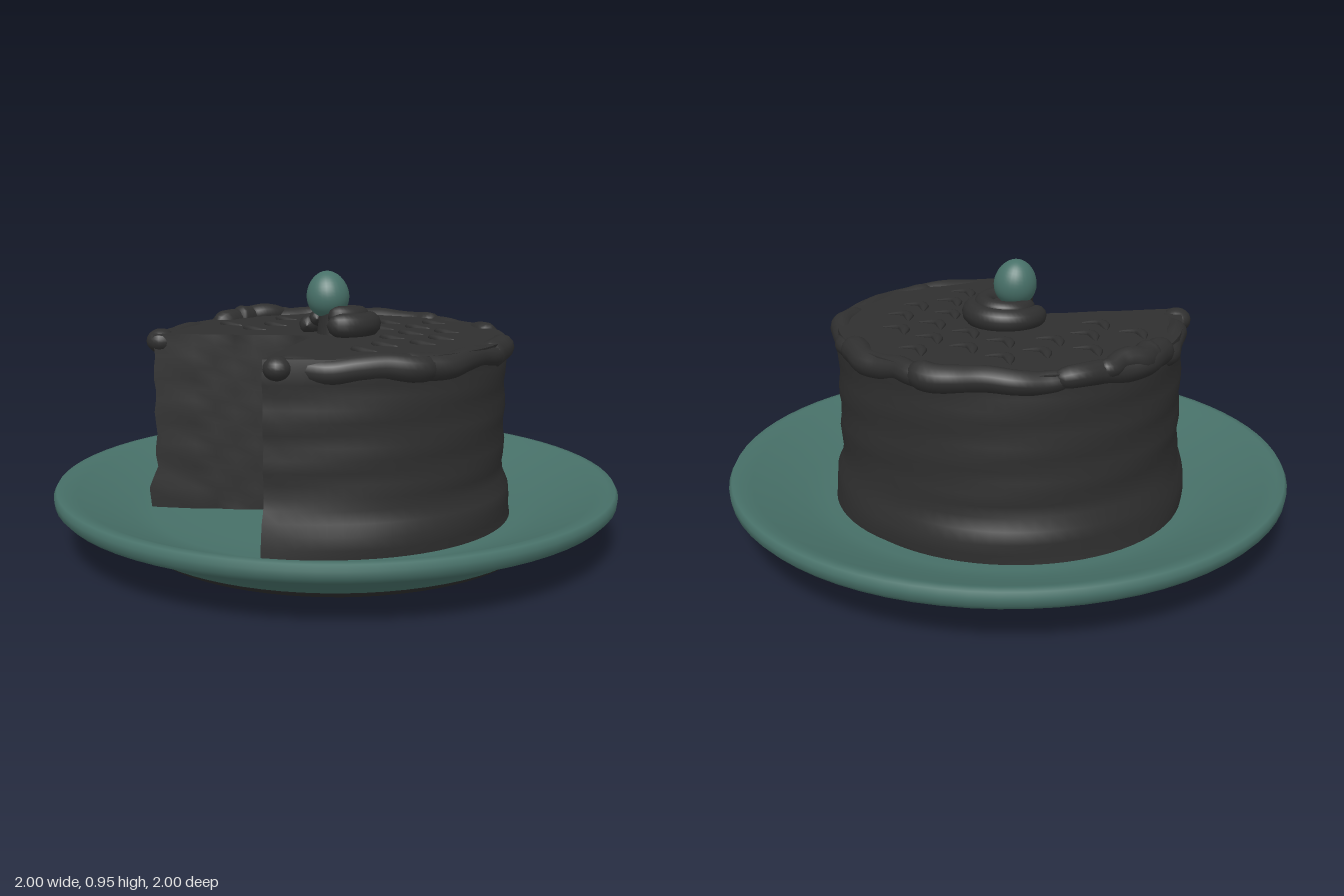
import * as THREE from 'three';
import { mergeVertices, toCreasedNormals } from 'three/addons/utils/BufferGeometryUtils.js';

const V = (x, y, z) => new THREE.Vector3(x, y, z);
const DEG = Math.PI / 180;

const chocolate = new THREE.MeshStandardMaterial({ color: 0x2f2f2f });
chocolate.name = 'chocolate';
const teal = new THREE.MeshStandardMaterial({ color: 0x477068 });
teal.name = 'teal glaze';

// Weld a geometry and give it smooth normals
function smooth(geo) {
  geo.deleteAttribute('uv');
  geo.deleteAttribute('normal');
  const welded = mergeVertices(geo, 1e-4);
  welded.computeVertexNormals();
  return welded;
}

// Move every vertex by a rule
function warp(geo, rule) {
  const p = geo.attributes.position;
  const v = new THREE.Vector3();
  for (let i = 0; i < p.count; i++) {
    v.fromBufferAttribute(p, i);
    rule(v, i);
    p.setXYZ(i, v.x, v.y, v.z);
  }
  return geo;
}

// A piped rope of icing whose thickness follows radius(t)
function rope(points, radius, segments = 28, sides = 12, flat = 1) {
  const curve = new THREE.CatmullRomCurve3(points);
  const geo = new THREE.TubeGeometry(curve, segments, 1, sides);
  const c = new THREE.Vector3();
  warp(geo, (v, i) => {
    const t = Math.floor(i / (sides + 1)) / segments;
    curve.getPointAt(t, c);
    v.sub(c).multiplyScalar(radius(t));
    v.y *= flat;
    v.add(c);
  });
  return smooth(geo);
}

// Thickness with rounded ends, growing from a to b
const taper = (a, b) => t => {
  const e = Math.min(1, Math.min(t, 1 - t) / 0.12);
  return (a + (b - a) * t) * Math.sqrt(Math.max(0.0004, 1 - (1 - e) ** 2));
};

export function createModel() {
  const model = new THREE.Group();
  model.name = 'cakeOnPlate';
  const add = (name, geo, mat, parent = model) => {
    const mesh = new THREE.Mesh(geo, mat);
    mesh.name = name;
    parent.add(mesh);
    return mesh;
  };
  const lathe = pts => new THREE.LatheGeometry(pts.map(p => new THREE.Vector2(...p)), 72);

  // Plate: sloped underside, rolled rim and dished top
  const plate = lathe([
    [0.74, 0.035], [0.8, 0.08], [0.87, 0.122], [0.94, 0.142], [0.98, 0.152], [0.997, 0.17],
    [1, 0.195], [0.99, 0.213], [0.965, 0.216], [0.92, 0.196], [0.83, 0.16], [0.74, 0.125],
    [0.66, 0.105], [0.5, 0.1], [0, 0.1],
  ]);
  add('plate', plate, teal);
  add('plateFoot', toCreasedNormals(lathe([[0, 0], [0.68, 0], [0.7, 0.008], [0.74, 0.035]]), 0.6), chocolate);

  // Cake body: a disc with a wedge cut out of the front
  const start = -57.5, end = 236.5;
  const outline = [];
  for (let i = 0; i <= 64; i++) {
    const t = i / 64;
    const a = (start + (end - start) * t) * DEG;
    const r = 0.578 + 0.028 * Math.abs(Math.cos(a)) + 0.05 * Math.abs(2 * t - 1) ** 12;
    outline.push(new THREE.Vector2(r * Math.cos(a), r * Math.sin(a)));
  }
  const tip = new THREE.Vector2(0.015, -0.1);
  const first = outline[0].clone(), last = outline[64].clone();
  for (let i = 1; i <= 8; i++) outline.push(last.clone().lerp(tip, i / 8));
  for (let i = 1; i < 8; i++) outline.push(tip.clone().lerp(first, i / 8));
  const body = new THREE.ExtrudeGeometry(new THREE.Shape(outline), { depth: 0.64, steps: 16, bevelEnabled: false });
  body.rotateX(-Math.PI / 2).translate(0, 0.095, 0);
  warp(body, v => {
    const r = Math.hypot(v.x, v.z);
    const a = Math.atan2(v.z, v.x);
    if (r > 0.55) {
      // Frosting bulges out around the base
      const base = 0.026 * (1 - THREE.MathUtils.smoothstep(v.y, 0.19, 0.25));
      const k = 1 + (base + 0.004 * Math.sin(v.y * 45 + a * 3)) / r;
      v.x *= k;
      v.z *= k;
    } else if (r > 0.15) {
      // Crumbly cut faces
      v.x += 0.006 * Math.sin(v.y * 38 + r * 31);
    }
  });
  add('cakeBody', toCreasedNormals(body, 0.7), chocolate);

  // Rim icing: overlapping strokes [from, to, start and end thickness, height]
  const rim = new THREE.Group();
  rim.name = 'rimIcing';
  model.add(rim);
  const strokes = [
    [-108, -62, 0.035, 0.05, 0.7], [-68, -22, 0.03, 0.05, 0.7], [-34, 18, 0.03, 0.05, 0.7],
    [4, 57, 0.046, 0.04, 0.7], [172, 124, 0.034, 0.044, 0.7], [-145, -196, 0.035, 0.05, 0.715],
    [-98, -152, 0.05, 0.035, 0.71], [-160, -186, 0.03, 0.05, 0.735],
  ];
  for (const [a0, a1, r0, r1, y] of strokes) {
    const pts = [];
    for (let i = 0; i <= 6; i++) {
      const a = (a0 + (a1 - a0) * i / 6) * DEG;
      const r = 0.557 + 0.03 * Math.abs(Math.cos(a)) + 0.008 * Math.sin(i * 2);
      pts.push(V(r * Math.cos(a), y + 0.007 * Math.sin(i * 1.7 + a0), r * Math.sin(a)));
    }
    add('icingStroke', rope(pts, taper(r0, r1)), chocolate, rim);
  }
  for (const [x, z, r] of [[-0.375, 0.495, 0.052], [0.365, 0.5, 0.046]]) {
    const dab = add('icingDab', new THREE.SphereGeometry(r, 18, 12), chocolate, rim);
    dab.position.set(x, 0.705, z);
    dab.scale.y = 0.85;
  }

  // Shallow curved knife marks over the top
  const marks = new THREE.Group();
  marks.name = 'topSwirlMarks';
  model.add(marks);
  for (let row = 0; row < 7; row++) {
    for (let col = 0; col < 7; col++) {
      const x = -0.48 + col * 0.16 + (row % 2) * 0.05;
      const z = -0.45 + row * 0.125;
      const r = Math.hypot(x, z);
      if (r > 0.47 || r < 0.2 || (z > 0 && Math.abs(x) < 0.14 + z * 0.72)) continue;
      const pts = [V(x - 0.055, 0.735, z - 0.03), V(x + 0.005, 0.737, z + 0.02), V(x + 0.065, 0.735, z - 0.015)];
      add('swirlMark', rope(pts, t => 0.003 + 0.017 * Math.sin(Math.PI * t), 10, 8, 0.6), chocolate, marks);
    }
  }

  // Icing rosette: two coils open towards the cut
  const rosette = new THREE.Group();
  rosette.name = 'rosette';
  model.add(rosette);
  const coil = (radius, y0, y1, a0, a1, r0, r1) => {
    const pts = [];
    for (let i = 0; i <= 12; i++) {
      const t = i / 12, a = (a0 + (a1 - a0) * t) * DEG;
      pts.push(V(0.012 + radius * Math.cos(a), y0 + (y1 - y0) * t, radius * Math.sin(a)));
    }
    return rope(pts, taper(r0, r1), 40);
  };
  add('lowerCoil', coil(0.11, 0.76, 0.775, 125, 418, 0.038, 0.045), chocolate, rosette);
  add('upperCoil', coil(0.075, 0.785, 0.802, 115, 425, 0.03, 0.04), chocolate, rosette);
  const core = add('rosetteCore', new THREE.CylinderGeometry(0.07, 0.08, 0.09, 24), chocolate, rosette);
  core.position.set(0.012, 0.765, -0.005);

  // Egg-shaped cherry on top
  const cherry = warp(new THREE.SphereGeometry(0.075, 28, 20), v => {
    const k = 1 - v.y * 1.2;
    v.x *= k;
    v.z *= k;
    v.y *= 1.1;
  });
  const topper = add('cherry', smooth(cherry), teal);
  topper.position.set(-0.008, 0.872, 0.03);
  topper.rotation.z = 0.15;

  return model;
}
